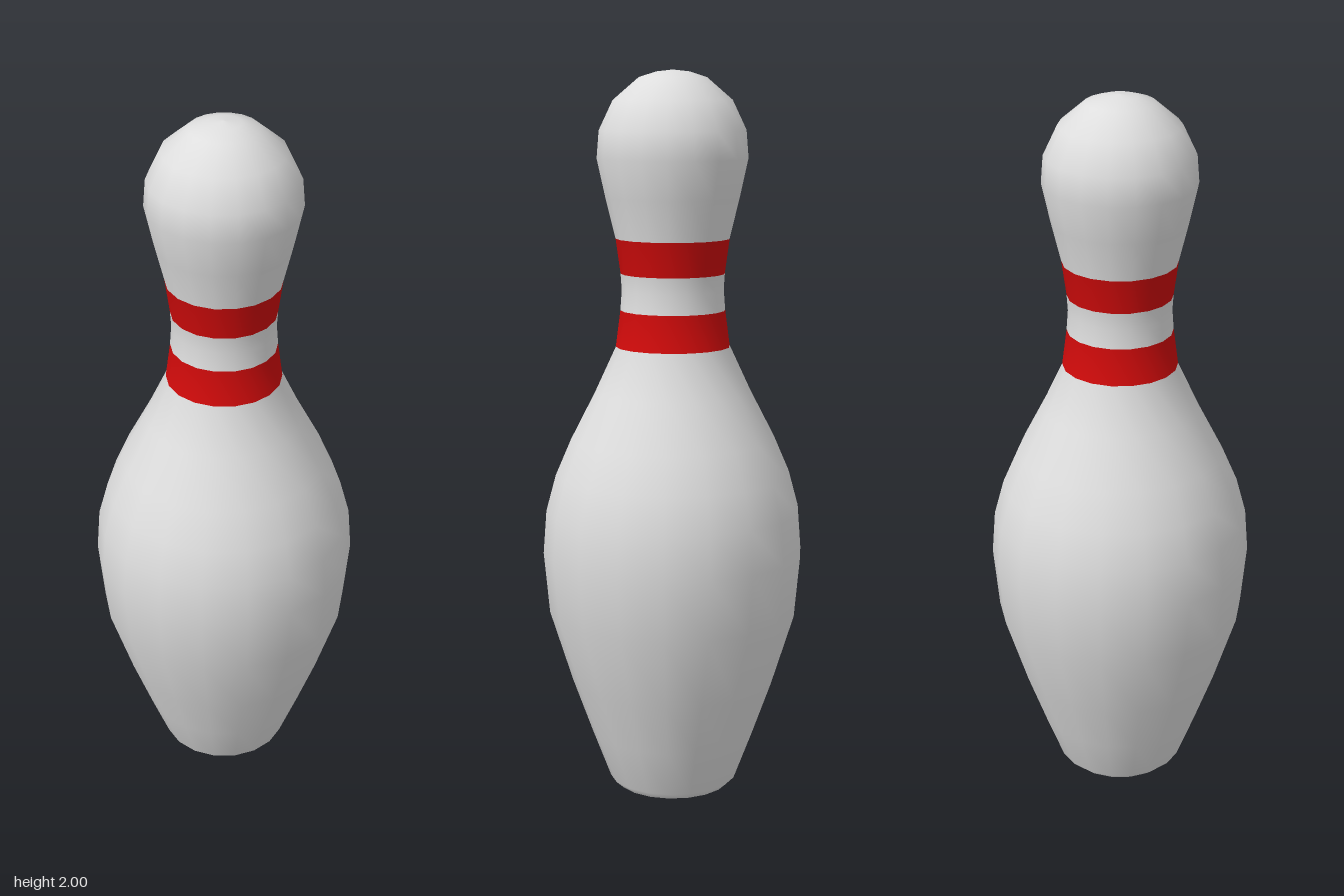
import * as THREE from 'three';

const SIDES = 18;

// Silhouette as [radius, height], from the foot to the crown
const PROFILE = [
  [0.155, 0.005], [0.177, 0.025], [0.228, 0.16], [0.282, 0.31], [0.345, 0.51], [0.361, 0.68],
  [0.352, 0.8], [0.325, 0.9], [0.282, 1.0], [0.215, 1.13], [0.157, 1.255],
  [0.144, 1.355], [0.14, 1.41], [0.143, 1.455], [0.156, 1.55], [0.183, 1.66],
  [0.206, 1.765], [0.2, 1.84], [0.162, 1.92], [0.092, 1.98], [0.045, 1.995], [0, 2],
];

export function createModel() {
  const group = new THREE.Group();
  const white = new THREE.MeshStandardMaterial({ color: 0xdedede });
  white.name = 'white';
  const red = new THREE.MeshStandardMaterial({ color: 0xcc0a0a });
  red.name = 'red';

  const points = PROFILE.map(([r, y]) => new THREE.Vector2(r, y));
  const full = new THREE.LatheGeometry(points, SIDES);
  const rows = points.length - 1;

  // Takes the rows between two heights, keeping the shared smooth normals
  function addBand(name, y0, y1, material) {
    const source = full.index.array;
    const index = [];
    for (let s = 0; s < SIDES; s++) {
      for (let r = 0; r < rows; r++) {
        const middle = (points[r].y + points[r + 1].y) / 2;
        if (middle < y0 || middle > y1) continue;
        const start = (s * rows + r) * 6;
        index.push(...source.slice(start, start + 6));
      }
    }
    const geometry = full.clone();
    geometry.setIndex(index);
    const mesh = new THREE.Mesh(geometry, material);
    mesh.name = name;
    group.add(mesh);
  }

  addBand('body', 0, 1.255, white);
  addBand('lowerStripe', 1.255, 1.355, red);
  addBand('neck', 1.355, 1.455, white);
  addBand('upperStripe', 1.455, 1.55, red);
  addBand('head', 1.55, 2, white);

  // Underside, with its rim turned to meet the lathe
  const base = new THREE.Mesh(
    new THREE.LatheGeometry([new THREE.Vector2(0, 0), points[0]], SIDES), white);
  base.name = 'base';
  group.add(base);

  return group;
}
